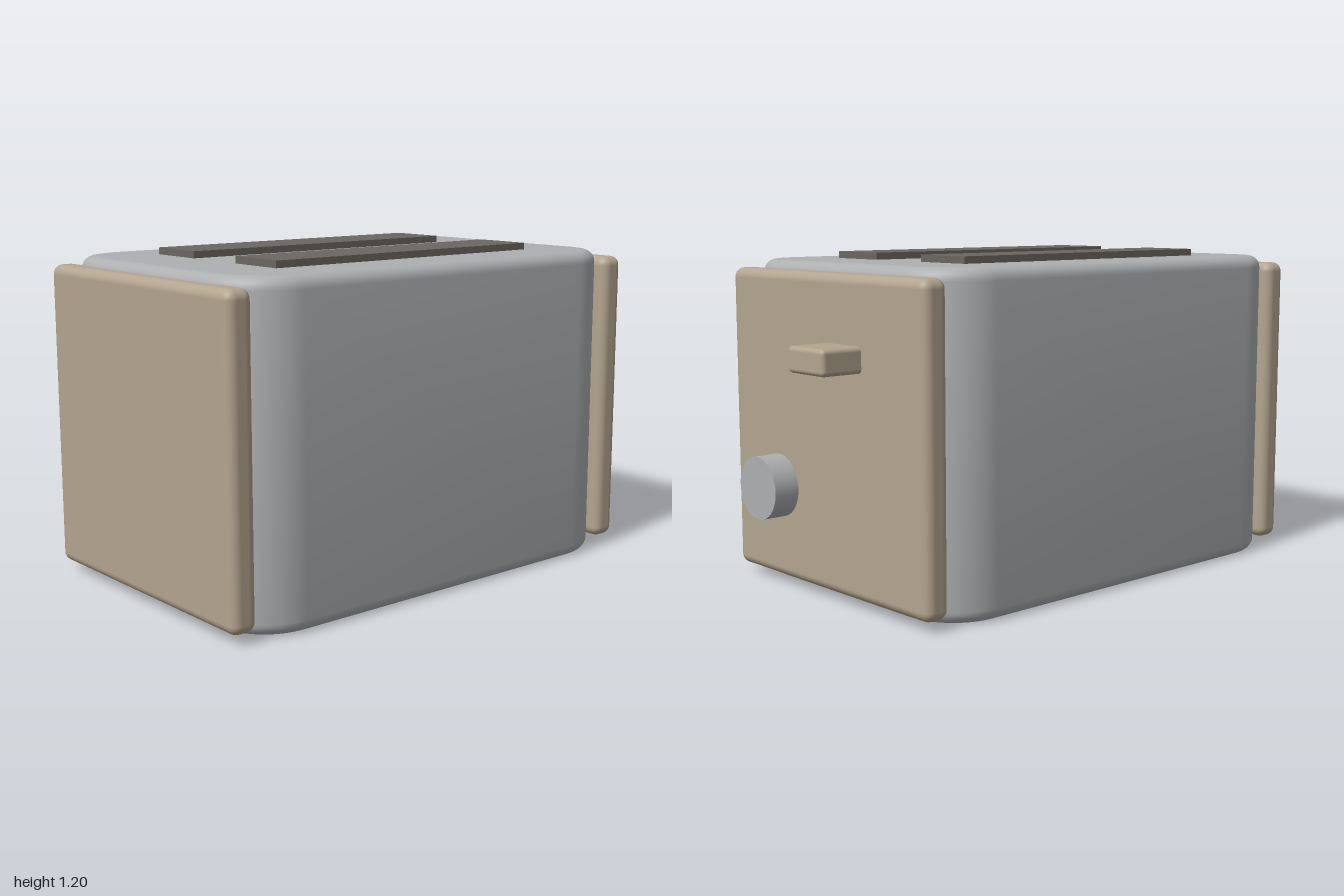
import * as THREE from 'three';
import { toCreasedNormals } from 'three/addons/utils/BufferGeometryUtils.js';
import { RoundedBoxGeometry } from 'three/addons/geometries/RoundedBoxGeometry.js';

const material = (name, color) => {
  const m = new THREE.MeshStandardMaterial({ color });
  m.name = name;
  return m;
};

// Rounded rectangle centred on the origin
function roundedRect(w, h, r) {
  const x = w / 2, y = h / 2, s = new THREE.Shape();
  s.absarc(x - r, y - r, r, 0, Math.PI / 2);
  s.absarc(r - x, y - r, r, Math.PI / 2, Math.PI);
  s.absarc(r - x, r - y, r, Math.PI, Math.PI * 1.5);
  s.absarc(x - r, r - y, r, Math.PI * 1.5, Math.PI * 2);
  s.closePath();
  return s;
}

export function createModel() {
  const toaster = new THREE.Group();
  toaster.name = 'toaster';
  const metal = material('brushed grey', 0xadafb1);
  const beige = material('beige', 0xb3a48f);
  const dark = material('dark slot', 0x6b6661);

  const add = (name, geometry, mat, x, y, z) => {
    const mesh = new THREE.Mesh(geometry, mat);
    mesh.name = name;
    mesh.position.set(x, y, z);
    toaster.add(mesh);
    return mesh;
  };

  // Body: plan outline with generous corners, softly bevelled top and bottom
  const bevel = 0.045, height = 1.17;
  const body = new THREE.ExtrudeGeometry(roundedRect(1.73 - 2 * bevel, 1.17 - 2 * bevel, 0.22 - bevel), {
    depth: height - 2 * bevel,
    bevelThickness: bevel,
    bevelSize: bevel,
    bevelSegments: 6,
    curveSegments: 12,
  });
  body.rotateX(-Math.PI / 2);
  add('body', toCreasedNormals(body, 0.6), metal, -0.08, bevel, 0);

  // End panels
  for (const [name, x] of [['leftPanel', 0.795], ['rightPanel', -0.95]]) {
    add(name, new RoundedBoxGeometry(0.1, 1.106, 1.11, 4, 0.035), beige, x, 0.587, 0);
  }

  // Bread slots
  for (const [name, z] of [['frontSlot', 0.241], ['backSlot', -0.241]]) {
    add(name, new THREE.BoxGeometry(1.173, 0.045, 0.228), dark, -0.079, 1.1725, z);
  }

  // Lever, set slightly into the panel
  add('lever', new RoundedBoxGeometry(0.18, 0.09, 0.2, 4, 0.016), beige, 0.91, 0.86, -0.125);

  // Browning knob
  const knob = new THREE.CylinderGeometry(0.113, 0.113, 0.12, 40);
  knob.rotateZ(-Math.PI / 2);
  add('knob', knob, metal, 0.88, 0.372, 0.267);

  return toaster;
}
